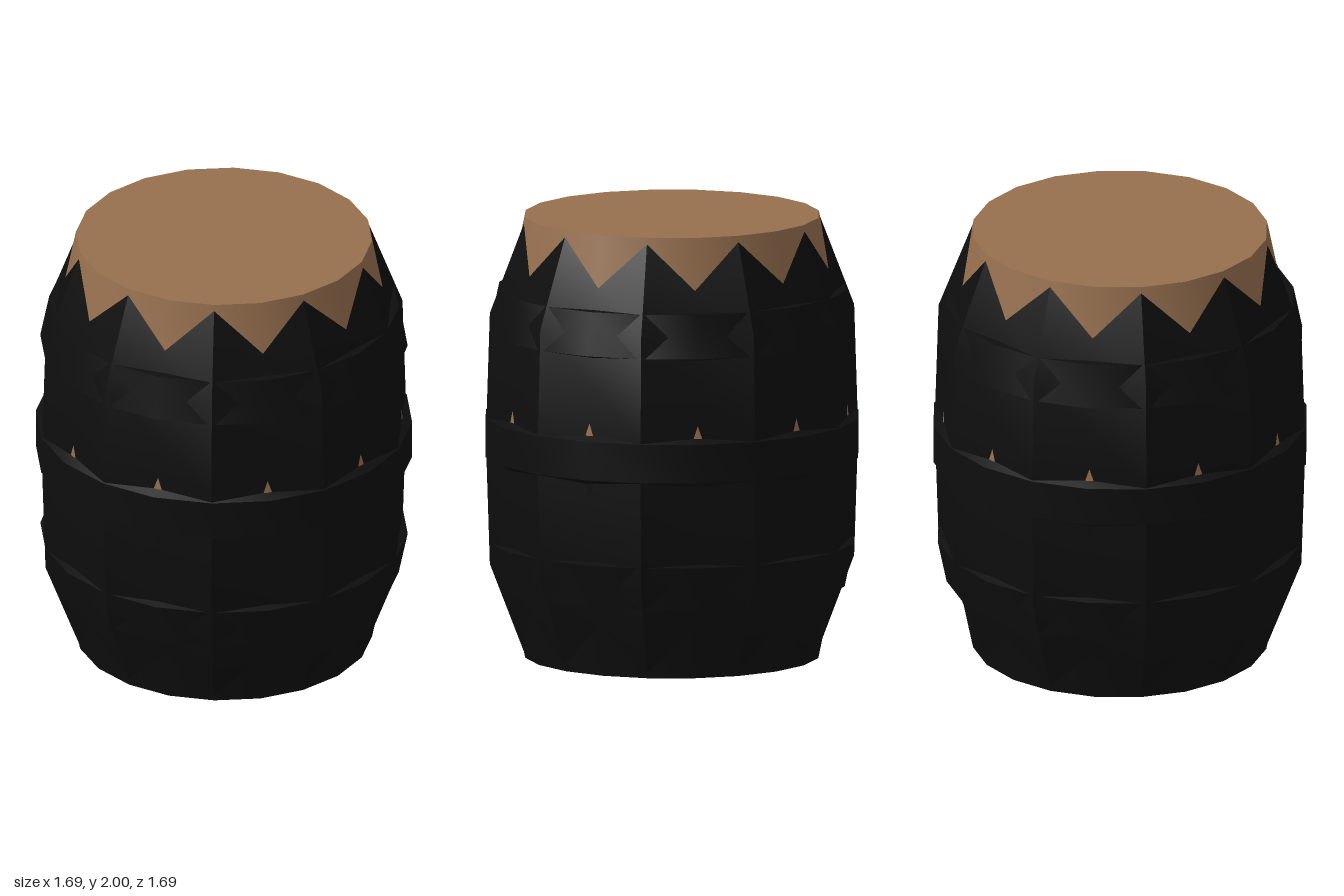
import * as THREE from 'three';
import { toCreasedNormals } from 'three/addons/utils/BufferGeometryUtils.js';

export function createModel() {
  const barrel = new THREE.Group();
  barrel.name = 'barrel';
  const wood = new THREE.MeshStandardMaterial({ name: 'brown wood', color: 0x966f4e });
  const black = new THREE.MeshStandardMaterial({ name: 'black', color: 0x0e0e0e });

  const add = (name, geometry, material) => {
    const mesh = new THREE.Mesh(geometry, material);
    mesh.name = name;
    barrel.add(mesh);
    return mesh;
  };
  // Profile points are [radius, height], listed upwards
  const turn = (points, sides, start = 0) => toCreasedNormals(
    new THREE.LatheGeometry(points.map(([r, y]) => new THREE.Vector2(r, y)), sides, start), 0.5);
  const flip = (points) => points.map(([r, y]) => [r, 2 - y]).reverse();

  // Round core: brown upper half, black lower half
  const core = [[0.8025, 1], [0.8025, 1.1], [0.797, 1.165], [0.75, 1.58], [0.71, 1.78], [0.665, 2]];
  add('upperCore', turn(core, 20), wood);
  add('lowerCore', turn(flip(core), 20), black);

  // Flat end discs, corners aligned with the core
  const lid = add('lid', new THREE.CircleGeometry(0.665, 20), wood);
  lid.rotation.x = -Math.PI / 2;
  lid.position.y = 2;
  const base = add('base', new THREE.CircleGeometry(0.665, 20), black);
  base.rotation.x = Math.PI / 2;

  // Ten flat staves; the core breaks through them as a zigzag at the top
  const staves = [[0.66, 0], [0.825, 0.43], [0.84, 0.9], [0.84, 1.1], [0.825, 1.57], [0.66, 2]];
  add('staves', turn(staves, 10, Math.PI / 10), black);

  // Hoops
  const upper = [[0.76, 1.455], [0.825, 1.475], [0.785, 1.67], [0.73, 1.675]];
  const middle = [[0.78, 0.88], [0.845, 0.915], [0.845, 1.09], [0.78, 1.12]];
  add('upperHoop', turn(upper, 20), black);
  add('middleHoop', turn(middle, 20), black);
  add('lowerHoop', turn(flip(upper), 20), black);

  return barrel;
}
